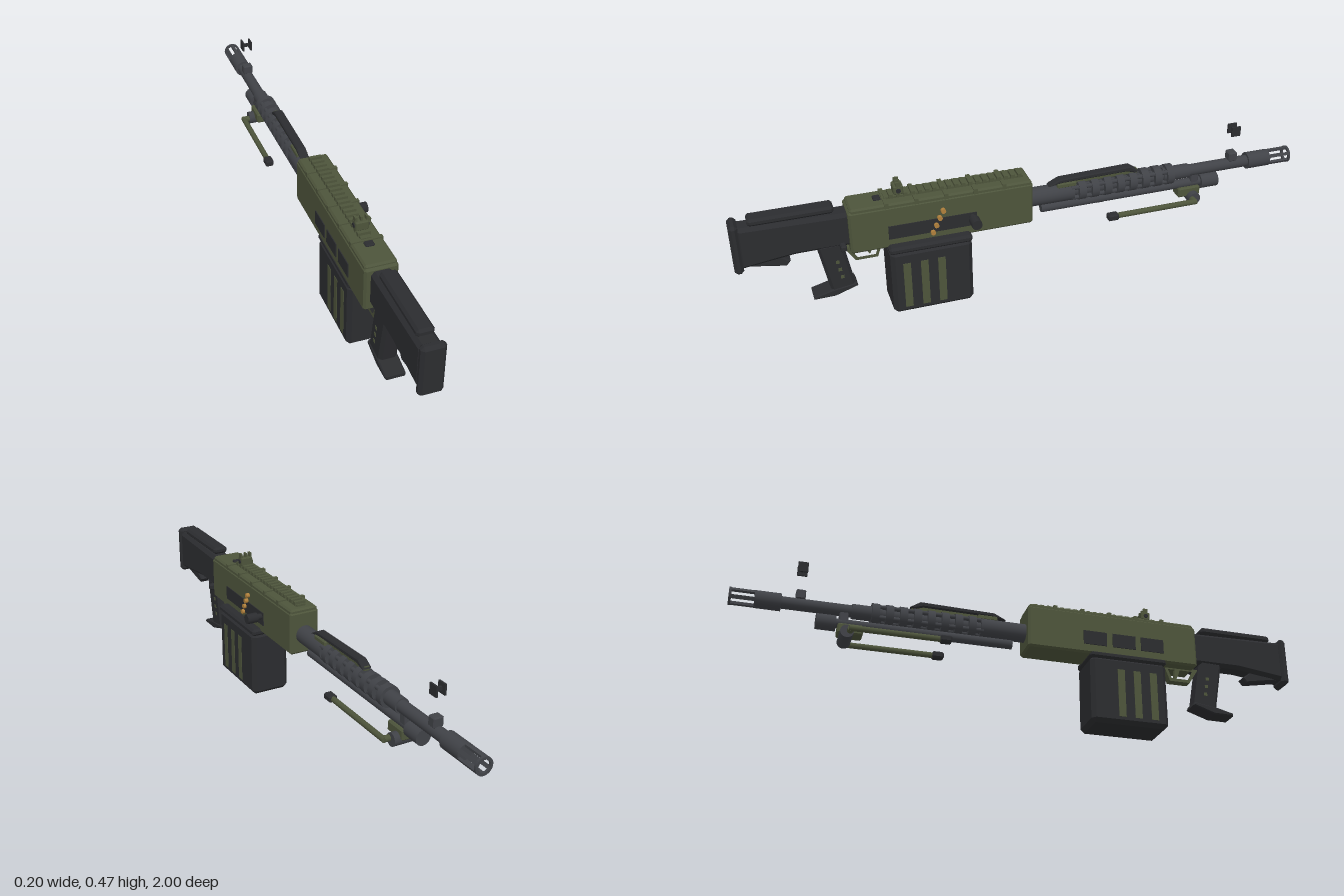
import * as THREE from 'three';
import { ConvexGeometry } from 'three/addons/geometries/ConvexGeometry.js';

const C = -0.017; // x of the bore line
const BORE = 0.32; // height of the bore line
const mat = (color, side = THREE.FrontSide) => new THREE.MeshStandardMaterial({ color, side });

export function createModel() {
  const root = new THREE.Group();
  const green = mat(0x4d543b), dark = mat(0x2b2c2f), steel = mat(0x404247), brass = mat(0xb0803c);

  const add = (name, geo, m) => {
    const mesh = new THREE.Mesh(geo, m);
    mesh.name = name;
    root.add(mesh);
    return mesh;
  };

  // Box between two corners, with all edges chamfered by c
  const block = (name, m, [x0, x1], [y0, y1], [z0, z1], c = 0) => {
    const h = [(x1 - x0) / 2, (y1 - y0) / 2, (z1 - z0) / 2];
    let geo;
    if (c) {
      const pts = [];
      for (const sx of [-1, 1]) for (const sy of [-1, 1]) for (const sz of [-1, 1])
        for (let k = 0; k < 3; k++) {
          const d = [0, 1, 2].map(i => h[i] - (i === k ? 0 : c));
          pts.push(new THREE.Vector3(sx * d[0], sy * d[1], sz * d[2]));
        }
      geo = new ConvexGeometry(pts);
    } else geo = new THREE.BoxGeometry(h[0] * 2, h[1] * 2, h[2] * 2);
    const mesh = add(name, geo, m);
    mesh.position.set((x0 + x1) / 2, (y0 + y1) / 2, (z0 + z1) / 2);
    return mesh;
  };
  // Block centred on the bore line
  const mid = (name, m, w, y, z, c) => block(name, m, [C - w / 2, C + w / 2], y, z, c);

  // Side outline of [z, y] points, extruded across x
  const profile = (name, m, pts, w, bevel = 0.006, hole) => {
    const shape = new THREE.Shape(pts.map(p => new THREE.Vector2(...p)));
    if (hole) shape.holes.push(new THREE.Path(hole.map(p => new THREE.Vector2(...p))));
    const geo = new THREE.ExtrudeGeometry(shape, {
      depth: w - 2 * bevel, bevelEnabled: bevel > 0, bevelThickness: bevel,
      bevelSize: bevel, bevelOffset: -bevel, bevelSegments: 1,
    });
    geo.translate(0, 0, -w / 2 + bevel).rotateY(-Math.PI / 2).translate(C, 0, 0);
    return add(name, geo, m);
  };

  // Cylinders along z and along x
  const rodZ = (name, m, r, z0, z1, y = BORE, x = C, sides = 20) => {
    const mesh = add(name, new THREE.CylinderGeometry(r, r, z1 - z0, sides).rotateX(Math.PI / 2), m);
    mesh.position.set(x, y, (z0 + z1) / 2);
    return mesh;
  };
  const rodX = (name, m, r, x0, x1, y, z, sides = 14) => {
    const mesh = add(name, new THREE.CylinderGeometry(r, r, x1 - x0, sides).rotateZ(Math.PI / 2), m);
    mesh.position.set((x0 + x1) / 2, y, z);
    return mesh;
  };

  // Receiver with top cover and straps
  mid('receiver', green, 0.11, [0.25, 0.405], [0, 0.627], 0.007);
  mid('topCover', green, 0.104, [0.37, 0.415], [0.004, 0.62], 0.006);
  for (let i = 1; i <= 5; i++) mid('coverStrap', green, 0.106, [0.4, 0.419], [i * 0.1 - 0.007, i * 0.1 + 0.007]);
  mid('coverLatch', dark, 0.03, [0.405, 0.421], [0.51, 0.535], 0.003);

  // Accessory rail
  mid('railBase', green, 0.034, [0.41, 0.422], [0.025, 0.5]);
  for (let i = 0; i < 19; i++) {
    const z = 0.03 + i * 0.0245;
    mid('railTooth', green, 0.042, [0.418, 0.431], [z, z + 0.013]);
  }

  // Rear sight
  mid('rearSightBase', green, 0.044, [0.427, 0.458], [0.435, 0.468], 0.003);
  for (const s of [-1, 0, 1])
    block('rearSightProng', green, [C + s * 0.018 - 0.0035, C + s * 0.018 + 0.0035], [0.45, 0.472], [0.443, 0.46]);
  rodX('rearSightKnob', dark, 0.008, C - 0.025, C + 0.025, 0.442, 0.452);

  // Side panels, feed port, cartridges and charging handle
  for (const z of [0.2, 0.307, 0.413])
    block('sidePanel', dark, [-0.075, -0.06], [0.283, 0.334], [z, z + 0.085]);
  block('feedPort', dark, [0.03, 0.041], [0.285, 0.334], [0.2, 0.5]);
  for (let i = 0; i < 4; i++) {
    const y = 0.363 - i * 0.0255, z = 0.315 + i * 0.0125;
    rodX('cartridge', brass, 0.0085, 0.03, 0.051, y, z, 10);
  }
  rodX('chargingStem', dark, 0.011, 0.03, 0.065, 0.318, 0.215);
  rodX('chargingKnob', dark, 0.018, 0.059, 0.099, 0.318, 0.215, 12);

  // Box magazine with lid and side stripes
  block('magazine', dark, [-0.073, 0.07], [0, 0.245], [0.225, 0.505], 0.014);
  block('magazineLid', dark, [-0.074, 0.071], [0.238, 0.264], [0.223, 0.507], 0.008);
  for (const x of [-0.0715, 0.0685]) for (const z of [0.44, 0.38, 0.321])
    block('magazineStripe', green, [x - 0.003, x + 0.003], [0.025, 0.2], [z, z + 0.026]);

  // Stock, cheek rest and butt plate
  profile('stock', dark, [[0.6, 0.272], [0.8, 0.272], [0.98, 0.25], [0.98, 0.402], [0.66, 0.395], [0.6, 0.395]], 0.07, 0.012);
  mid('cheekRest', dark, 0.056, [0.4, 0.426], [0.665, 0.94], 0.008);
  mid('buttPlate', dark, 0.078, [0.235, 0.415], [0.97, 1], 0.01);
  profile('stockHook', dark, [[0.96, 0.265], [0.955, 0.25], [0.835, 0.228], [0.82, 0.245], [0.86, 0.275]], 0.04, 0.004);

  // Pistol grip, foot and trigger group
  profile('grip', dark, [[0.735, 0.285], [0.7, 0.095], [0.617, 0.11], [0.65, 0.29]], 0.062, 0.01);
  profile('gripFoot', dark, [[0.762, 0.083], [0.762, 0.094], [0.7, 0.11], [0.617, 0.122], [0.612, 0.11], [0.69, 0.084]], 0.068, 0.004);
  for (const y of [0.15, 0.18, 0.21]) {
    const z = 0.655 + (y - 0.15) * 0.18;
    mid('gripPin', green, 0.065, [y, y + 0.012], [z, z + 0.012]);
  }
  profile('triggerGuard', green, [[0.645, 0.255], [0.61, 0.2], [0.535, 0.2], [0.515, 0.255]], 0.03, 0,
    [[0.622, 0.245], [0.603, 0.211], [0.542, 0.211], [0.529, 0.245]]);
  profile('trigger', green, [[0.58, 0.255], [0.572, 0.23], [0.562, 0.212], [0.556, 0.216], [0.56, 0.255]], 0.014, 0);
  block('safetyLever', dark, [-0.01, 0.044], [0.268, 0.29], [0.64, 0.66], 0.004);

  // Barrel
  rodZ('barrelSleeve', steel, 0.033, -0.16, 0.01);
  rodZ('barrel', steel, 0.021, -0.86, -0.1);
  rodZ('barrelCollar', steel, 0.026, -0.6, -0.5);

  // Vented shroud: rings joined by thin ribs
  for (let i = 0; i < 8; i++) {
    const z = -0.19 - i * 0.0475;
    rodZ('shroudRing', steel, 0.037, z - 0.013, z + 0.013, BORE, C, 16);
  }
  for (let i = 0; i < 4; i++) {
    const a = Math.PI / 4 + i * Math.PI / 2;
    rodZ('shroudRib', steel, 0.008, -0.53, -0.15, BORE + 0.027 * Math.sin(a), C + 0.027 * Math.cos(a), 8);
  }

  // Muzzle brake: solid collar, prongs and end ring
  rodZ('muzzleCollar', steel, 0.03, -0.918, -0.832);
  for (let i = 0; i < 6; i++) {
    const a = Math.PI / 6 + i * Math.PI / 3;
    const prong = add('muzzleProng', new THREE.BoxGeometry(0.008, 0.011, 0.085), steel);
    prong.position.set(C + 0.0255 * Math.cos(a), BORE + 0.0255 * Math.sin(a), -0.955);
    prong.rotation.z = a;
  }
  const ring = new THREE.Shape().absarc(0, 0, 0.03, 0, Math.PI * 2);
  ring.holes.push(new THREE.Path().absarc(0, 0, 0.021, 0, Math.PI * 2, true));
  add('muzzleRing', new THREE.ExtrudeGeometry(ring, { depth: 0.008, bevelEnabled: false, curveSegments: 16 }), steel)
    .position.set(C, BORE, -1);

  // Carry handle on its mount
  mid('handleMount', green, 0.04, [0.345, 0.362], [-0.17, -0.1], 0.003);
  mid('handleRail', green, 0.018, [0.352, 0.366], [-0.4, -0.14]);
  profile('carryHandle', dark, [[-0.07, 0.355], [-0.11, 0.377], [-0.37, 0.383], [-0.405, 0.36], [-0.39, 0.355], [-0.36, 0.365], [-0.12, 0.362]], 0.032, 0.004);

  // Gas tube
  rodZ('gasTube', steel, 0.016, -0.66, -0.045, 0.27);
  rodZ('gasBlock', steel, 0.027, -0.716, -0.65, 0.268);
  mid('gasBracket', steel, 0.03, [0.268, 0.32], [-0.64, -0.61], 0.003);

  // Front sight: base on the barrel and raised blades above
  mid('frontSightBase', steel, 0.036, [0.335, 0.37], [-0.787, -0.755], 0.004);
  for (const s of [-1, 1])
    block('frontSightBlade', dark, [C + s * 0.015 - 0.003, C + s * 0.015 + 0.003], [0.437, 0.473], [-0.789, -0.755]);
  mid('frontSightBridge', dark, 0.03, [0.449, 0.461], [-0.776, -0.768]);

  // Folded bipod
  mid('bipodClamp', green, 0.05, [0.225, 0.262], [-0.645, -0.56], 0.005);
  rodX('bipodPivot', steel, 0.023, C - 0.046, C + 0.046, 0.224, -0.615, 16);
  for (const s of [-1, 1]) {
    const x = C + s * 0.066;
    rodX('bipodHinge', green, 0.011, Math.min(x, C + s * 0.03), Math.max(x, C + s * 0.03), 0.226, -0.605);
    rodZ('bipodLeg', green, 0.01, -0.612, -0.3, 0.226, x, 10);
    block('bipodFoot', dark, [x - 0.015, x + 0.015], [0.214, 0.238], [-0.31, -0.27], 0.005);
  }
  return root;
}
